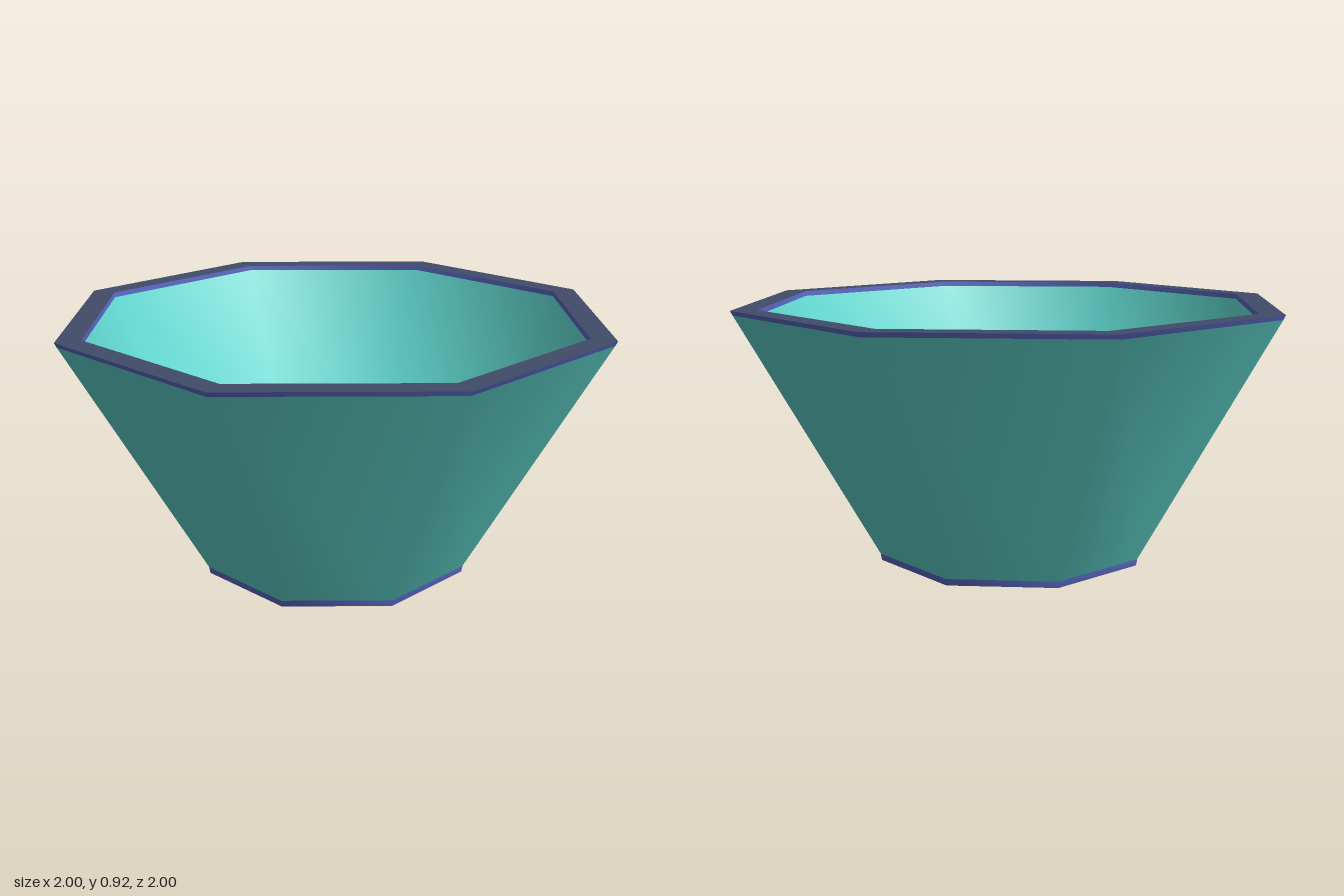
import * as THREE from 'three';

const mat = (name, color) => new THREE.MeshStandardMaterial({ name, color });

export function createModel() {
  const teal = mat('teal', 0x5fd4cc);
  const slate = mat('slate', 0x424c69);
  const blue = mat('blue', 0x5a69c4);
  const bowl = new THREE.Group();
  bowl.name = 'bowl';

  // Eight-sided surface of revolution; profile pairs are [radius, height].
  // Profiles that rise face outward, those that fall face inward.
  const ring = (name, material, profile) => {
    const points = profile.map(([r, y]) => new THREE.Vector2(r, y));
    const mesh = new THREE.Mesh(new THREE.LatheGeometry(points, 8), material);
    mesh.name = name;
    bowl.add(mesh);
  };

  // Base plate and its thin edge, softened where it turns under
  ring('underside', teal, [[0, 0], [0.495, 0]]);
  ring('baseEdge', blue, [[0.495, 0], [0.498, 0], [0.502, 0.024]]);

  // Flared outer wall
  ring('outerWall', teal, [[0.502, 0.024], [0.992, 0.908]]);

  // Rim: outer edge, flat top and inner edge
  ring('rimOuterEdge', blue, [[0.992, 0.908], [1, 0.924]]);
  ring('rimTop', slate, [[1, 0.924], [0.91, 0.924]]);
  ring('rimInnerEdge', blue, [[0.91, 0.924], [0.908, 0.906]]);

  // Hollow with a smooth turn from wall to a thick floor
  ring('hollow', teal, [[0.908, 0.906], [0.54, 0.25], [0, 0.25]]);

  return bowl;
}
